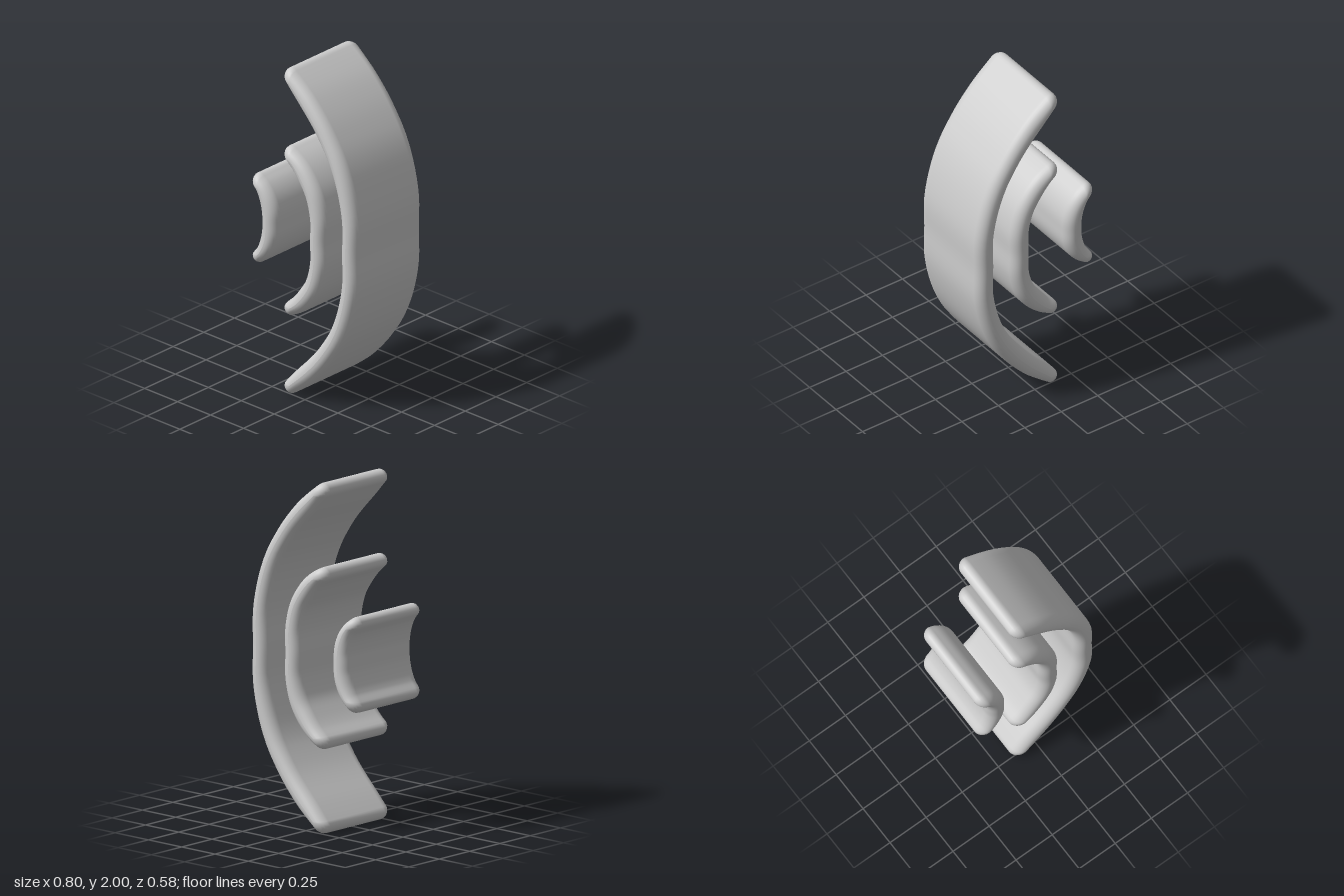
import * as THREE from 'three';

const HALF_WIDTH = 0.288; // half extent along z
const EDGE = 0.065;       // depth of the rounded side edges
const HALF_THICK = 0.058; // half thickness of a band

// Curved band with rounded rims and tapered, rounded tips.
// half: centreline points of the upper half, from the middle to the tip.
function bandGeometry(half, tipRadius) {
  const lower = half.slice(1).reverse().map(([x, y]) => [x, 2 - y]);
  const curve = new THREE.CatmullRomCurve3(
    [...lower, ...half].map(([x, y]) => new THREE.Vector3(x, y, 0)), false, 'centripetal');
  const length = curve.getLength();
  const stations = 44, capSteps = 8, edgeSteps = 7;

  // Counterclockwise outline of one layer; s shrinks it towards the centreline
  function outline(s) {
    const inset = (1 - s) * 0.04 / length;
    const points = [];
    const add = (t, angle) => {
      const u = inset + (1 - 2 * inset) * t;
      const p = curve.getPointAt(u), d = curve.getTangentAt(u);
      const fromTip = Math.min(1, Math.min(t, 1 - t) * length / 0.2);
      const r = s * (tipRadius + (HALF_THICK - tipRadius) * Math.sin(fromTip * Math.PI / 2));
      const c = Math.cos(angle) * r, q = Math.sin(angle) * r;
      points.push([p.x + d.y * c + d.x * q, p.y - d.x * c + d.y * q]);
    };
    for (let i = 0; i < stations; i++) add(i / stations, 0);
    for (let i = 0; i < capSteps; i++) add(1, Math.PI * i / capSteps);
    for (let i = 0; i < stations; i++) add(1 - i / stations, Math.PI);
    for (let i = 0; i < capSteps; i++) add(0, Math.PI * (1 + i / capSteps));
    return points;
  }

  // Layers from back to front
  const positions = [], index = [];
  const layers = [];
  for (const side of [-1, 1]) {
    for (let k = 0; k <= edgeSteps; k++) {
      const a = Math.PI / 2 * (side < 0 ? 1 - k / edgeSteps : k / edgeSteps);
      layers.push([Math.cos(a), side * (HALF_WIDTH - EDGE + EDGE * Math.sin(a))]);
    }
  }
  for (const [s, z] of layers) for (const [x, y] of outline(s)) positions.push(x, y, z);

  const n = 2 * (stations + capSteps);
  for (let k = 0; k < layers.length - 1; k++) {
    for (let i = 0; i < n; i++) {
      const j = (i + 1) % n;
      const a = k * n + i, b = k * n + j, c = b + n, d = a + n;
      index.push(a, b, c, a, c, d);
    }
  }
  const geometry = new THREE.BufferGeometry();
  geometry.setAttribute('position', new THREE.Float32BufferAttribute(positions, 3));
  geometry.setIndex(index);
  geometry.computeVertexNormals();
  return geometry;
}

export function createModel() {
  const group = new THREE.Group();
  group.name = 'signalWaves';
  const grey = new THREE.MeshStandardMaterial({ color: 0xcccccc });
  grey.name = 'light grey';

  const bands = [
    ['smallWave', 0.038, [[-0.265, 1], [-0.268, 1.07], [-0.288, 1.14], [-0.32, 1.195], [-0.36, 1.235]]],
    ['middleWave', 0.042, [[0.097, 1], [0.097, 1.14], [0.062, 1.275], [0.002, 1.37], [-0.057, 1.433], [-0.117, 1.477]]],
    ['largeWave', 0.043, [[0.34, 1], [0.34, 1.2], [0.297, 1.4], [0.24, 1.54], [0.185, 1.63], [0.12, 1.72],
      [0.035, 1.815], [-0.045, 1.892], [-0.115, 1.957]]],
  ];
  for (const [name, tipRadius, half] of bands) {
    const mesh = new THREE.Mesh(bandGeometry(half, tipRadius), grey);
    mesh.name = name;
    group.add(mesh);
  }
  return group;
}
